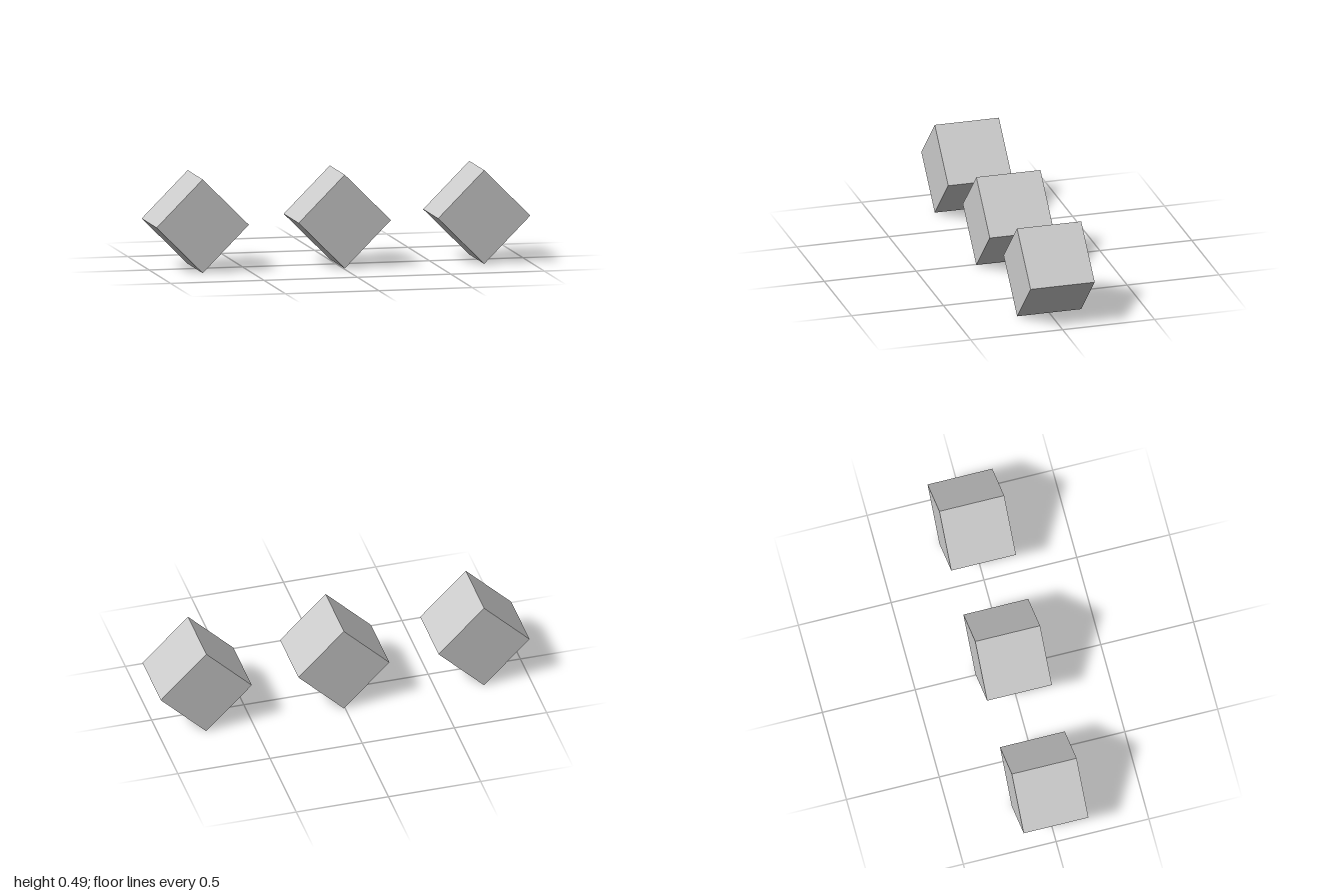
import * as THREE from 'three';

const SIDE = 0.349;
const HALF_DIAGONAL = SIDE / Math.SQRT2;

export function createModel() {
  const model = new THREE.Group();
  const material = new THREE.MeshStandardMaterial({ color: 0xcccccc, flatShading: true });
  const geometry = new THREE.BoxGeometry(SIDE, SIDE, SIDE);

  // A row of three cubes, each balanced on one edge
  const cubes = [
    ['rightCube', HALF_DIAGONAL - 1],
    ['middleCube', 0.007],
    ['leftCube', 1 - HALF_DIAGONAL],
  ];
  for (const [name, x] of cubes) {
    const cube = new THREE.Mesh(geometry, material);
    cube.name = name;
    cube.position.set(x, HALF_DIAGONAL, 0);
    cube.rotation.z = Math.PI / 4;
    model.add(cube);
  }
  return model;
}
